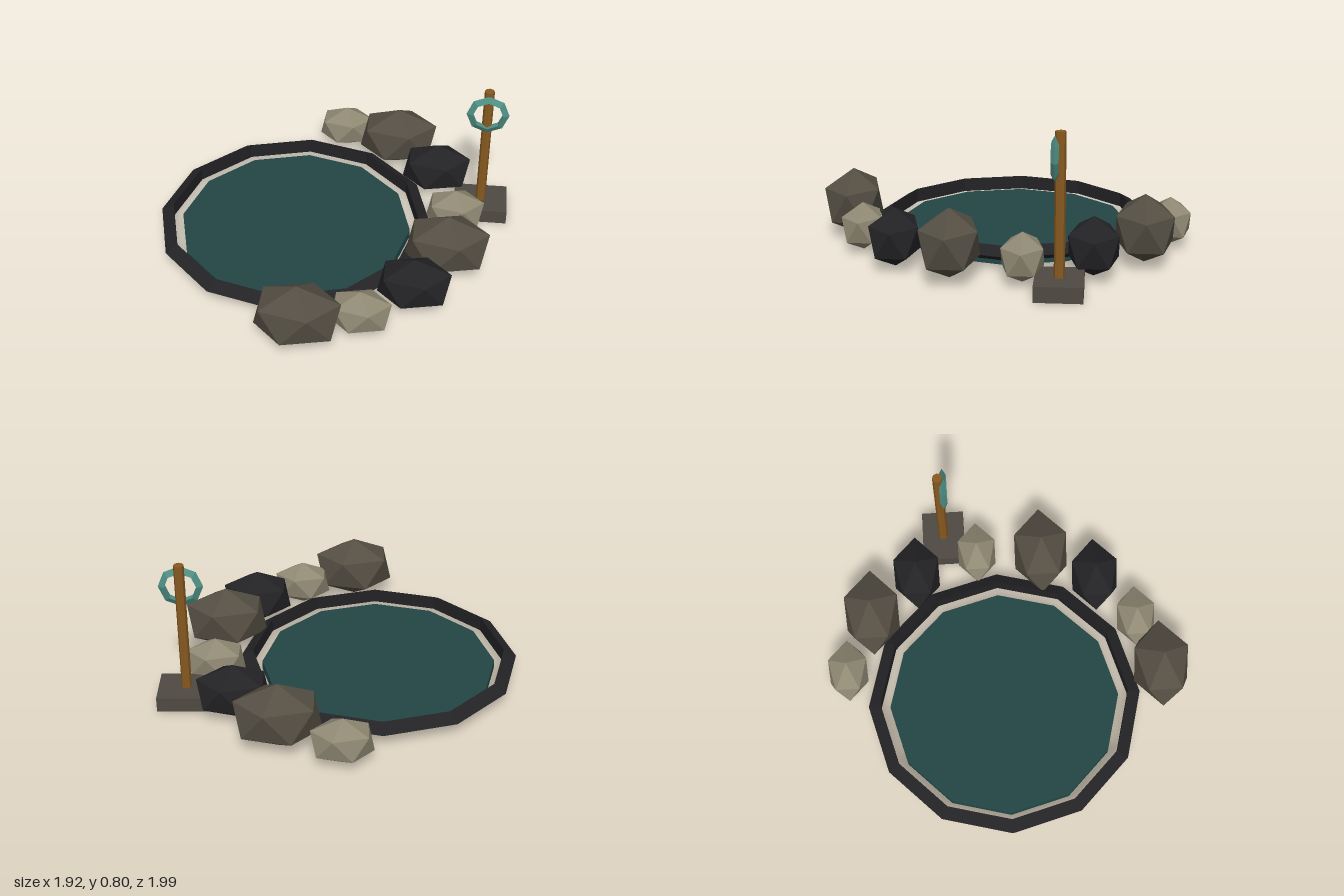
import * as THREE from 'three';
import { ConvexGeometry } from 'three/addons/geometries/ConvexGeometry.js';

const material = (name, color) => {
  const m = new THREE.MeshStandardMaterial({ color, flatShading: true });
  m.name = name;
  return m;
};

// Twelve-point boulder standing on a point, with two staggered rings of five corners
function boulderGeometry() {
  const points = [new THREE.Vector3(0, 1, 0), new THREE.Vector3(0, -1, 0)];
  const h = 1 / Math.sqrt(5), r = 2 * h;
  for (let i = 0; i < 5; i++) {
    const a = (i * Math.PI * 2) / 5;
    points.push(new THREE.Vector3(r * Math.cos(a), h, r * Math.sin(a)));
    points.push(new THREE.Vector3(-r * Math.cos(a), -h, r * Math.sin(a)));
  }
  return new ConvexGeometry(points);
}

export function createModel() {
  const group = new THREE.Group();
  const water = material('deep teal water', 0x234646);
  const black = material('black stone', 0x232326);
  const brown = material('brown stone', 0x544e43);
  const pale = material('pale stone', 0x8f8873);
  const slab = material('slab grey', 0x4f4942);
  const wood = material('post wood', 0x87591f);
  const teal = material('ring teal', 0x4f9085);

  const add = (name, geometry, mat, x, y, z) => {
    const mesh = new THREE.Mesh(geometry, mat);
    mesh.name = name;
    mesh.position.set(x, y, z);
    group.add(mesh);
    return mesh;
  };

  // Pond
  const px = -0.208, pz = -0.023;
  add('pondWater', new THREE.CylinderGeometry(0.637, 0.637, 0.05, 12), water, px, 0.025, pz);
  add('pondRim', new THREE.TorusGeometry(0.709, 0.0455, 3, 12), black, px, 0.08, pz).rotation.x = Math.PI / 2;

  // Boulders along the side: x, z, size, material
  const boulder = boulderGeometry();
  const boulders = [
    [-0.085, 0.852, 0.248, brown],
    [0.222, 0.745, 0.177, pale],
    [0.48, 0.532, 0.2125, black],
    [0.636, 0.235, 0.248, brown],
    [0.67, -0.13, 0.177, pale],
    [0.551, -0.478, 0.2125, black],
    [0.314, -0.736, 0.248, brown],
    [-0.005, -0.881, 0.177, pale],
  ];
  boulders.forEach(([x, z, s, mat], i) => {
    const height = s * 0.73;
    add(`boulder${i + 1}`, boulder, mat, x, height, z).scale.set(s, height, s * 0.7);
  });

  // Life-ring post on its slab
  const sx = 0.812, sz = -0.317;
  add('postBase', new THREE.BoxGeometry(0.296, 0.08, 0.24), slab, sx, 0.04, sz);
  add('post', new THREE.CylinderGeometry(0.027, 0.027, 0.73, 8), wood, sx, 0.433, sz);
  add('ring', new THREE.TorusGeometry(0.0935, 0.022, 3, 8), teal, sx, 0.664, -0.292);

  return group;
}
